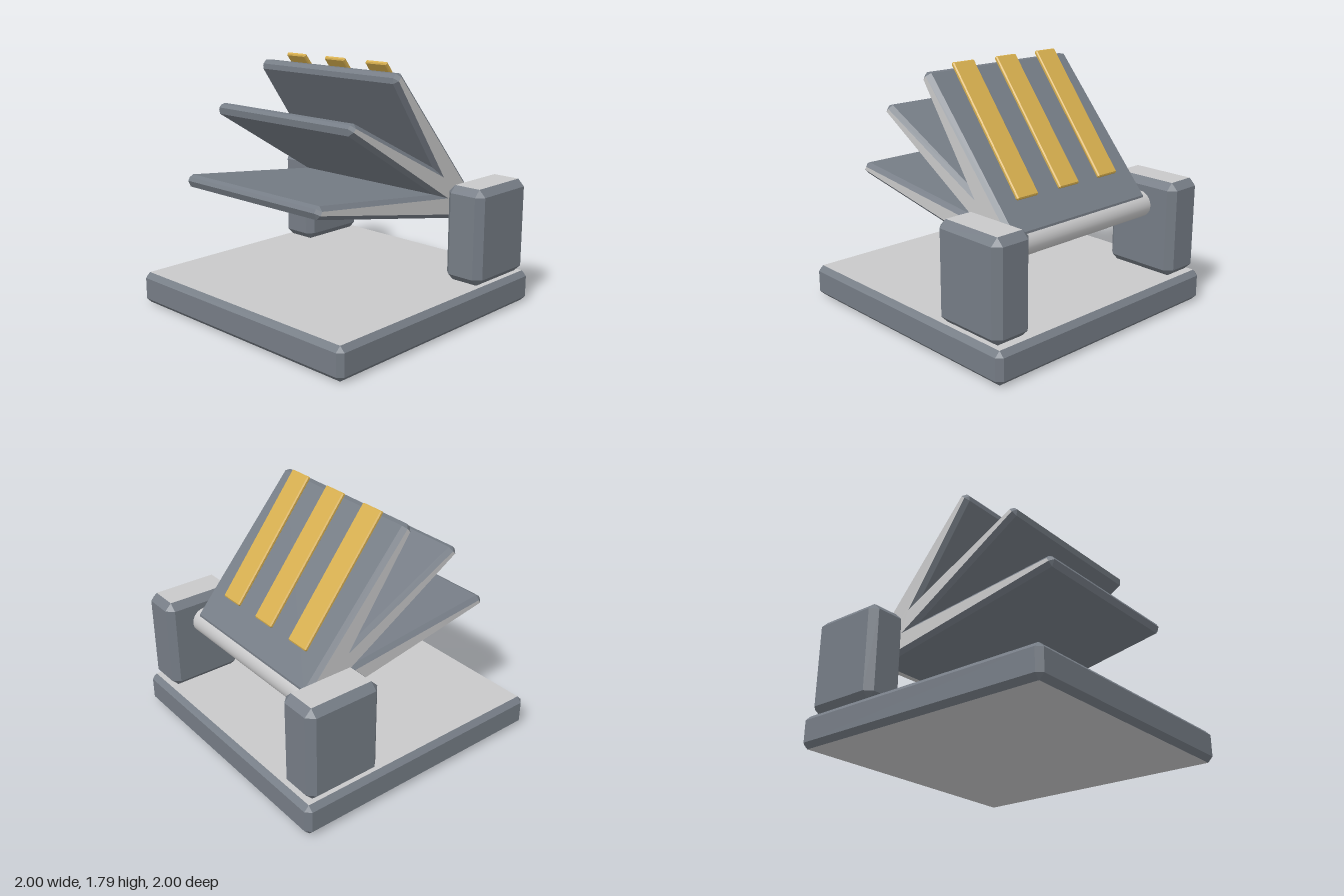
import * as THREE from 'three';

const slate = new THREE.MeshStandardMaterial({ color: 0x757c85 });
slate.name = 'slate';
const lightGrey = new THREE.MeshStandardMaterial({ color: 0xc8c8c9 });
lightGrey.name = 'light grey';
const gold = new THREE.MeshStandardMaterial({ color: 0xd6ae4e });
gold.name = 'gold';

// Prism along z with every edge chamfered by b. The counter-clockwise outline
// is the end face. Group 0 is the walls and chamfers, group 1 the two end faces.
function chamferedPrism(outline, depth, b) {
  const pts = outline.map(([x, y]) => new THREE.Vector2(x, y));
  const n = pts.length, h = depth / 2, positions = [];
  const at = (p, z) => new THREE.Vector3(p.x, p.y, z);
  const tri = (p, q, r) => {
    const area = q.clone().sub(p).cross(r.clone().sub(p)).length();
    if (area > 1e-9) for (const v of [p, q, r]) positions.push(v.x, v.y, v.z);
  };
  const quad = (p, q, r, s) => { tri(p, q, r); tri(p, r, s); };
  const normals = pts.map((p, i) => {
    const d = pts[(i + 1) % n].clone().sub(p).normalize();
    return new THREE.Vector2(d.y, -d.x);
  });

  // Outer ring: convex corners are cut, concave corners are mitred
  const ring = pts.map((p, i) => {
    const n1 = normals[(i + n - 1) % n], n2 = normals[i];
    if (n1.cross(n2) > 0) {
      return [p.clone().addScaledVector(n1, b), p.clone().addScaledVector(n2, b)];
    }
    const m = n1.clone().add(n2).multiplyScalar(b / (1 + n1.dot(n2))).add(p);
    return [m, m];
  });

  for (let i = 0; i < n; i++) {
    const j = (i + 1) % n, [a, c] = ring[i], e = ring[j][0], z = h - b;
    quad(at(a, -z), at(c, -z), at(c, z), at(a, z));
    quad(at(c, -z), at(e, -z), at(e, z), at(c, z));
    tri(at(pts[i], h), at(a, z), at(c, z));
    tri(at(pts[i], -h), at(c, -z), at(a, -z));
    quad(at(c, z), at(e, z), at(pts[j], h), at(pts[i], h));
    quad(at(pts[i], -h), at(pts[j], -h), at(e, -z), at(c, -z));
  }
  const sideCount = positions.length / 3;
  for (const [i, j, k] of THREE.ShapeUtils.triangulateShape(pts, [])) {
    tri(at(pts[i], h), at(pts[j], h), at(pts[k], h));
    tri(at(pts[k], -h), at(pts[j], -h), at(pts[i], -h));
  }

  const geometry = new THREE.BufferGeometry();
  geometry.setAttribute('position', new THREE.Float32BufferAttribute(positions, 3));
  geometry.computeVertexNormals();
  geometry.addGroup(0, sideCount, 0);
  geometry.addGroup(sideCount, positions.length / 3 - sideCount, 1);
  return geometry;
}

// Box of full size w x l x depth, chamfered by b
function chamferedBox(w, l, depth, b) {
  const x = w / 2 - b, y = l / 2 - b;
  return chamferedPrism([[-x, -y], [x, -y], [x, y], [-x, y]], depth, b);
}

export function createModel() {
  const model = new THREE.Group();
  model.name = 'hingedFanStand';
  const add = (name, geometry, material, x, y, z) => {
    const mesh = new THREE.Mesh(geometry, material);
    mesh.name = name;
    mesh.position.set(x, y, z);
    model.add(mesh);
    return mesh;
  };
  const twoTone = [slate, lightGrey];

  // Base plate
  add('base', chamferedBox(2, 2, 0.23, 0.037), twoTone, 0, 0.115, 0).rotation.x = -Math.PI / 2;

  // Hinge blocks on both sides
  const block = chamferedBox(0.305, 0.57, 0.69, 0.05);
  for (const [name, side] of [['leftBlock', 1], ['rightBlock', -1]]) {
    add(name, block, twoTone, side * 0.828, 0.58, -0.675).rotation.x = -Math.PI / 2;
  }

  // Hinge rod
  const rod = new THREE.CylinderGeometry(0.095, 0.095, 1.5, 32);
  add('hingeRod', rod, lightGrey, 0, 0.735, -0.675).rotation.z = Math.PI / 2;

  // Three joined leaves, outline given as (z, y)
  const leaves = [
    [0.815, 0.935], [0.8, 0.96], [-0.455, 0.813],
    [0.524, 1.412], [0.503, 1.433], [-0.4, 0.973],
    [0.1, 1.69], [0.076, 1.716], [-0.715, 0.8], [-0.64, 0.66],
  ];
  add('leaves', chamferedPrism(leaves, 1.31, 0.03), twoTone, 0, 0, 0).rotation.y = -Math.PI / 2;

  // Gold strips on the back of the top leaf
  const strip = chamferedBox(0.187, 1.02, 0.03, 0.008);
  for (const x of [-0.385, 0, 0.385]) {
    add('goldStrip', strip, [gold, gold], x, 1.388, -0.293).rotation.x = 0.663;
  }
  return model;
}
